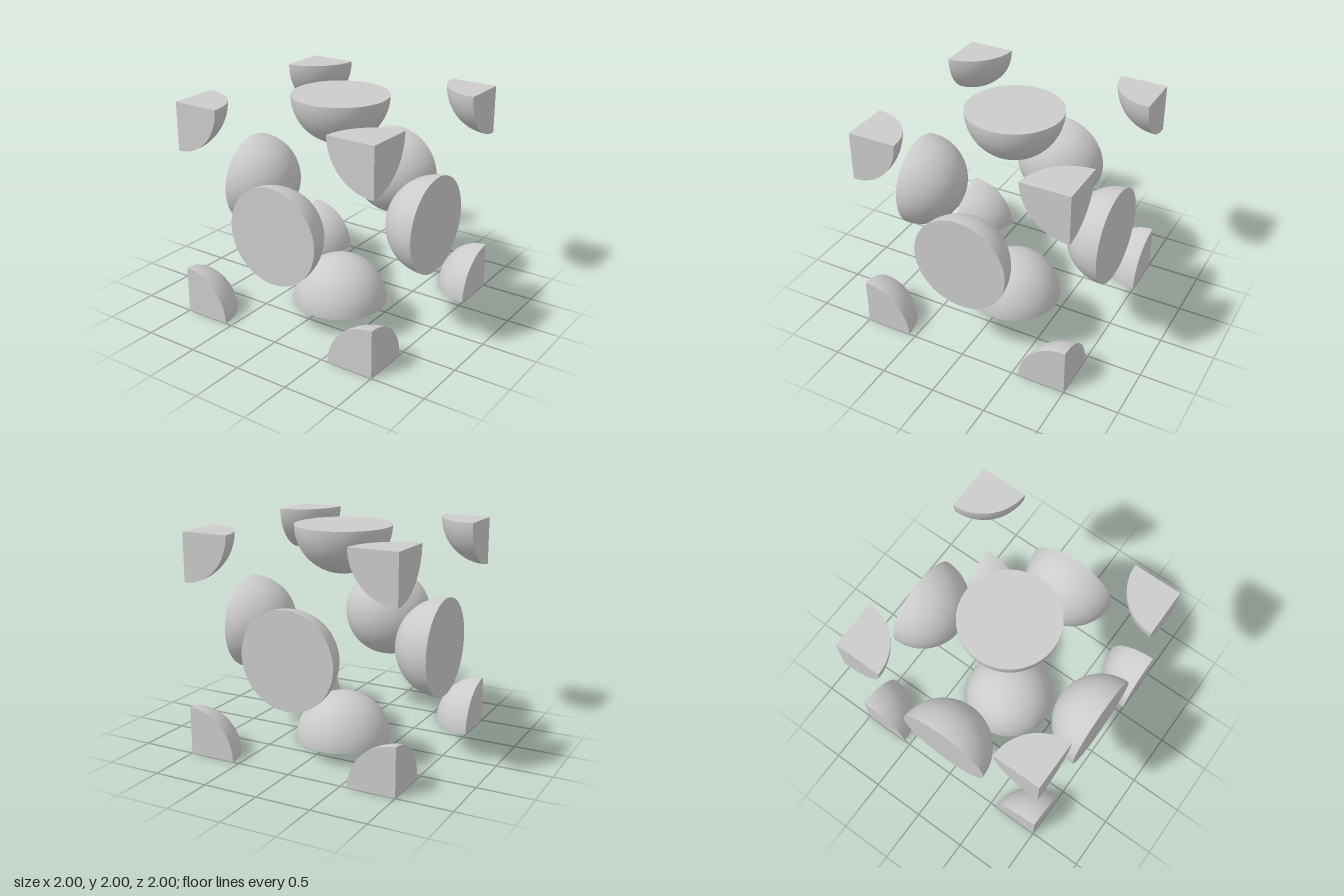
import * as THREE from 'three';
import { mergeGeometries } from 'three/addons/utils/BufferGeometryUtils.js';

const R = 0.4375;
const Q = Math.PI / 2;

// Half ball, dome up, closed by a disc underneath
function halfBall() {
  const dome = new THREE.SphereGeometry(R, 64, 24, 0, Math.PI * 2, 0, Q);
  const disc = new THREE.CircleGeometry(R, 64).rotateX(Q);
  return mergeGeometries([dome, disc]);
}

// Eighth of a ball in the +x +y +z octant, closed by three quarter discs
function eighthBall() {
  const parts = [new THREE.SphereGeometry(R, 24, 24, Q, Q, 0, Q)];
  const cycle = new THREE.Matrix4().makeBasis(
    new THREE.Vector3(0, 1, 0), new THREE.Vector3(0, 0, 1), new THREE.Vector3(1, 0, 0));
  const cap = new THREE.CircleGeometry(R, 24, Q, Q).rotateY(Math.PI);
  for (let i = 0; i < 3; i++) {
    parts.push(cap.clone());
    cap.applyMatrix4(cycle);
  }
  return mergeGeometries(parts);
}

export function createModel() {
  const model = new THREE.Group();
  model.name = 'faceCentredCubicCell';
  const material = new THREE.MeshStandardMaterial({ color: 0xcccccc });

  // Each geometry sits at the cell's boundary and is turned about its centre
  const add = (name, geometry, x, y, z) => {
    const mesh = new THREE.Mesh(geometry, material);
    mesh.name = name;
    mesh.position.y = 1;
    mesh.rotation.set(x, y, z);
    model.add(mesh);
  };

  // Half balls centred on the six faces
  const half = halfBall().translate(0, -1, 0);
  add('bottomFaceBall', half, 0, 0, 0);
  add('topFaceBall', half, Math.PI, 0, 0);
  add('leftFaceBall', half, 0, 0, Q);
  add('rightFaceBall', half, 0, 0, -Q);
  add('frontFaceBall', half, -Q, 0, 0);
  add('backFaceBall', half, Q, 0, 0);

  // Eighth balls in the eight corners
  const eighth = eighthBall().translate(-1, -1, -1);
  for (let i = 0; i < 4; i++) {
    add('bottomCornerBall' + (i + 1), eighth, 0, i * Q, 0);
    add('topCornerBall' + (i + 1), eighth, 0, i * Q, Math.PI);
  }
  return model;
}
